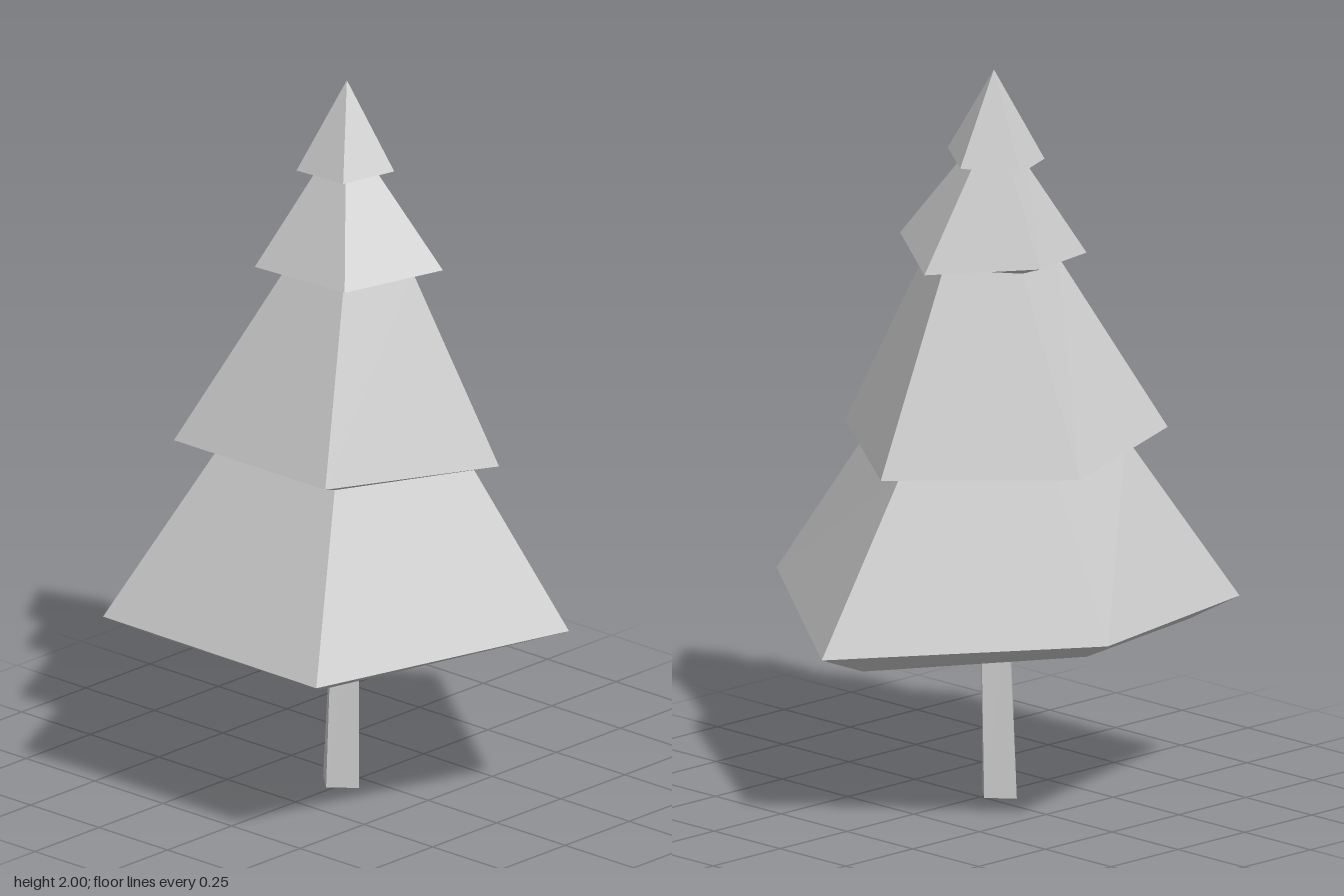
import * as THREE from 'three';

const material = new THREE.MeshStandardMaterial({ color: 0xcccccc, flatShading: true });

// Closed ring of corners, starting at the back and passing +x, one height per corner
function ring(cx, cz, rx, rz, heights) {
  return heights.map((y, k) => {
    const a = (k / heights.length) * Math.PI * 2;
    return new THREE.Vector3(cx + Math.sin(a) * rx, y, cz - Math.cos(a) * rz);
  });
}

// Faceted skin through rings listed from the bottom up; a one-point ring is a tip
function loft(name, rings, capBottom) {
  const pts = [];
  const first = rings[0];
  const n = first.length;
  if (capBottom) {
    const centre = first.reduce((s, p) => s.add(p), new THREE.Vector3()).divideScalar(n);
    for (let k = 0; k < n; k++) pts.push(centre, first[k], first[(k + 1) % n]);
  }
  for (let i = 0; i < rings.length - 1; i++) {
    const a = rings[i], b = rings[i + 1];
    for (let k = 0; k < n; k++) {
      const j = (k + 1) % n;
      if (b.length === 1) pts.push(a[j], a[k], b[0]);
      else pts.push(a[j], a[k], b[k], a[j], b[k], b[j]);
    }
  }
  const geometry = new THREE.BufferGeometry().setFromPoints(pts);
  geometry.computeVertexNormals();
  const mesh = new THREE.Mesh(geometry, material);
  mesh.name = name;
  return mesh;
}

export function createModel() {
  const tree = new THREE.Group();
  tree.name = 'pineTree';

  // Slightly leaning four-sided trunk
  tree.add(loft('trunk', [
    ring(-0.015, 0.057, 0.065, 0.058, [0, 0, 0, 0]),
    ring(-0.003, 0.052, 0.05, 0.053, [0.5, 0.5, 0.5, 0.5]),
  ], true));

  // Narrow rings under each tier, where it meets the one below
  const necks = [
    ring(0, 0.068, 0.52, 0.508, [0.43, 0.485, 0.46, 0.46, 0.5]),
    ring(0.01, 0.058, 0.368, 0.348, [0.94, 0.97, 0.97, 0.97, 0.955]),
    ring(0.02, 0.057, 0.185, 0.177, [1.475, 1.49, 1.485, 1.475, 1.475]),
    ring(0, 0.05, 0.095, 0.08, [1.745, 1.75, 1.745, 1.74, 1.75]),
    [new THREE.Vector3(0, 2, 0.05)],
  ];

  // Wide, uneven rims of the tiers
  const rims = [
    ring(0, 0.058, 0.662, 0.652, [0.49, 0.54, 0.515, 0.52, 0.565]),
    ring(-0.015, 0.055, 0.47, 0.443, [0.95, 0.975, 1.0, 1.0, 0.98]),
    ring(0.015, 0.051, 0.279, 0.246, [1.475, 1.51, 1.495, 1.485, 1.51]),
    ring(0, 0.052, 0.145, 0.128, [1.75, 1.765, 1.755, 1.75, 1.745]),
  ];

  // Each tier: underside band, then the slope up to the next neck or the tip
  rims.forEach((rim, i) => {
    tree.add(loft('foliageTier' + (i + 1), [necks[i], rim, necks[i + 1]], i === 0));
  });

  return tree;
}
